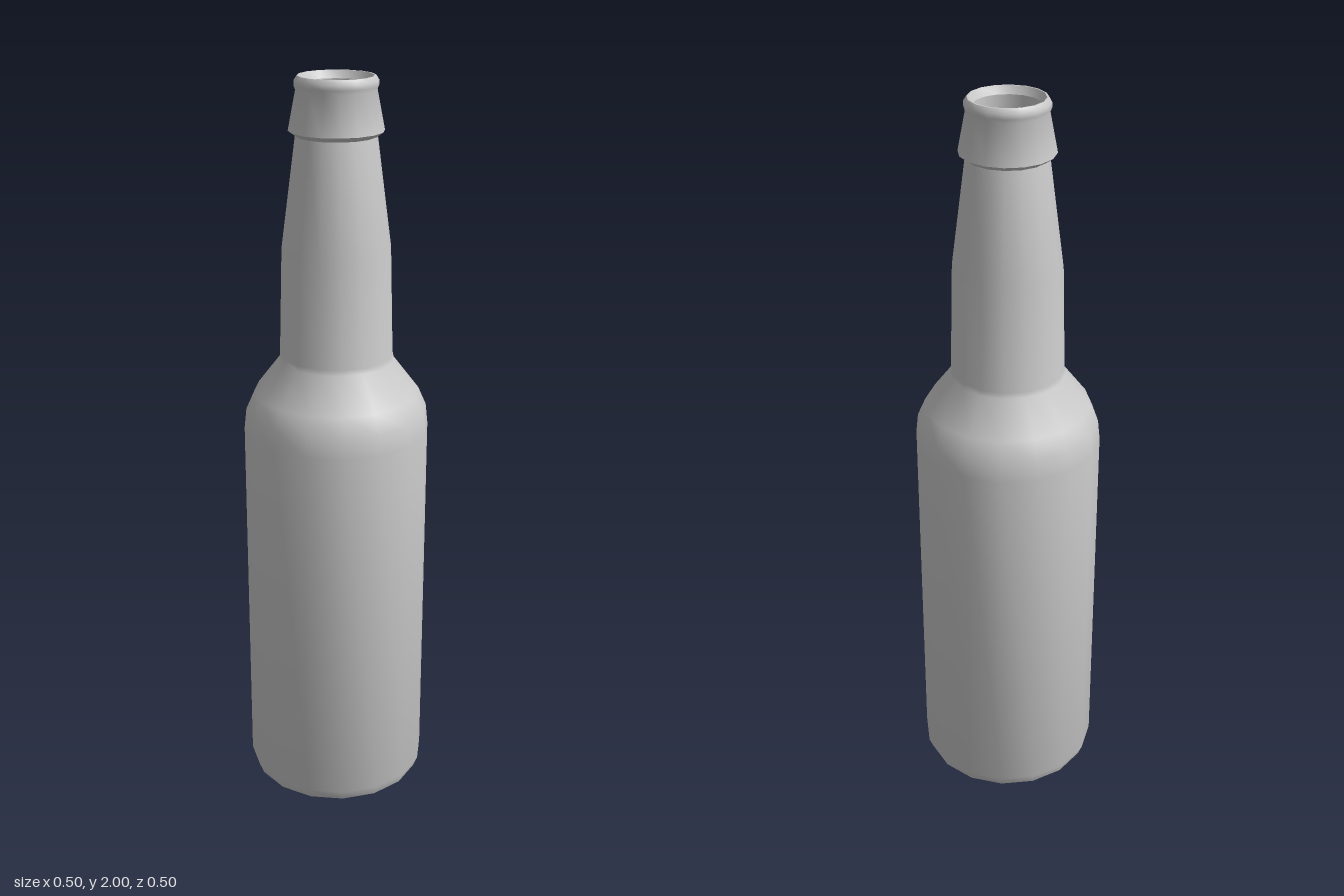
import * as THREE from 'three';
import { toCreasedNormals } from 'three/addons/utils/BufferGeometryUtils.js';

const SIDES = 16;

// Turn a profile of [radius, height] points around the y axis.
function turned(name, profile) {
  const points = profile.map(([r, y]) => new THREE.Vector2(r, y));
  const geometry = toCreasedNormals(new THREE.LatheGeometry(points, SIDES), 0.75);
  const material = new THREE.MeshStandardMaterial({ color: 0xcccccc, side: THREE.DoubleSide });
  const mesh = new THREE.Mesh(geometry, material);
  mesh.name = name;
  return mesh;
}

export function createModel() {
  const bottle = new THREE.Group();
  bottle.name = 'bottle';

  // Base, body, shoulder and tapering neck
  bottle.add(turned('bodyAndNeck', [
    [0, 0], [0.24, 0], [0.252, 0.03], [0.252, 1.06], [0.246, 1.115], [0.224, 1.165],
    [0.155, 1.255], [0.152, 1.27], [0.144, 1.56], [0.106, 1.85],
  ]));

  // Flared collar, rounded lip and the chamfered mouth
  bottle.add(turned('collarAndLip', [
    [0.106, 1.85], [0.124, 1.863], [0.104, 1.965], [0.108, 1.975], [0.108, 1.988],
    [0.1, 2], [0.096, 2], [0.086, 1.98],
  ]));

  // Inside wall and floor
  bottle.add(turned('innerWall', [
    [0.086, 1.98], [0.086, 1.85], [0.13, 1.56], [0.138, 1.26],
    [0.21, 1.16], [0.237, 1.06], [0.237, 0.03], [0, 0.03],
  ]));

  return bottle;
}
